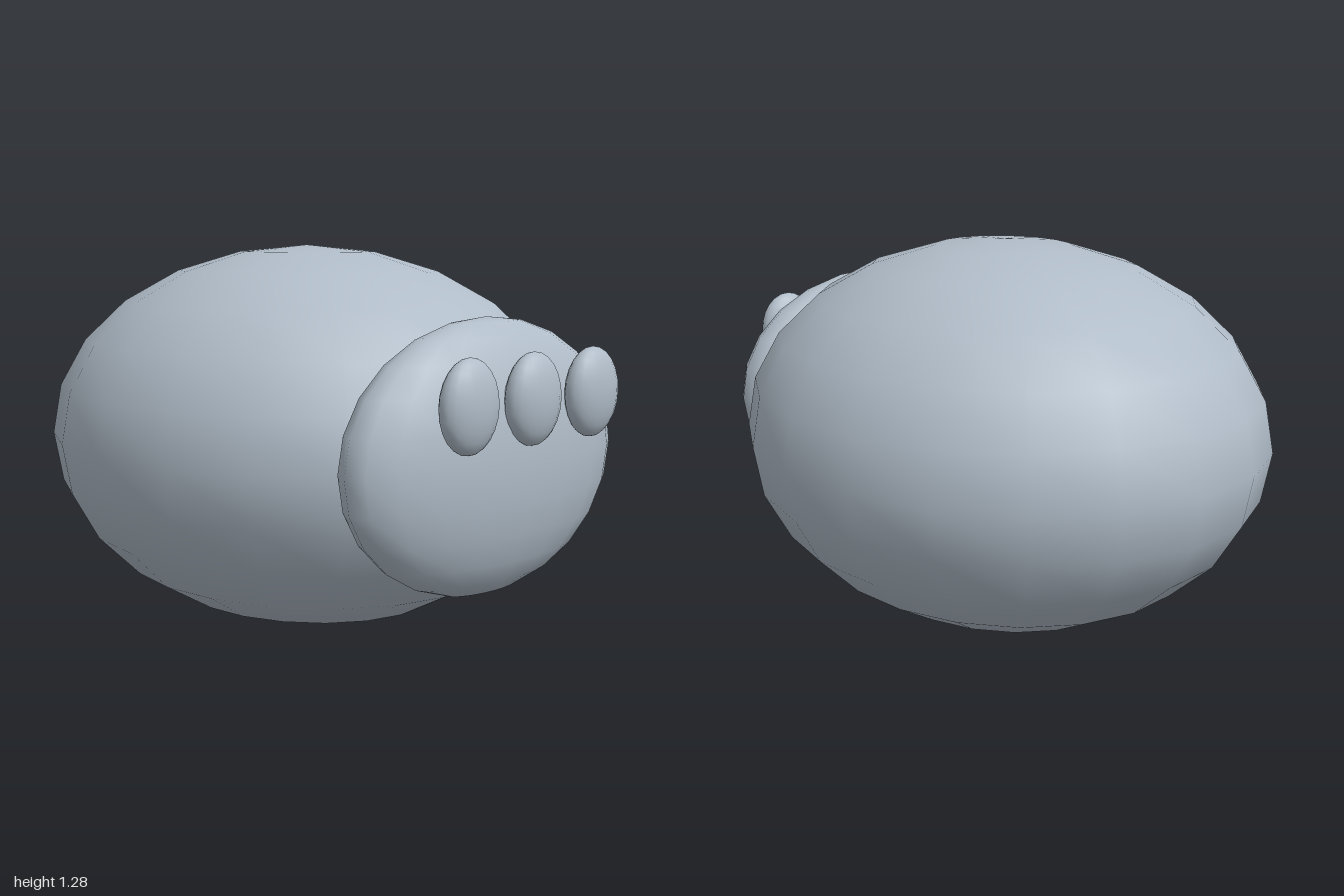
import * as THREE from 'three';

export function createModel() {
  const group = new THREE.Group();
  const blueGrey = new THREE.MeshStandardMaterial({ color: 0xb0bcc8 });
  blueGrey.name = 'blueGrey';

  // Smooth ellipsoid with its poles up and down
  const ellipsoid = (name, radii, centre) => {
    const geometry = new THREE.SphereGeometry(1, 20, 12);
    geometry.scale(...radii);
    const mesh = new THREE.Mesh(geometry, blueGrey);
    mesh.name = name;
    mesh.position.set(...centre);
    group.add(mesh);
  };

  // Egg-shaped body, long from front to back
  ellipsoid('body', [0.838, 0.64, 0.94], [0, 0.643, -0.06]);

  // Flattened disc sunk into the front
  ellipsoid('frontPad', [0.565, 0.421, 0.187], [0, 0.66, 0.757]);

  // Three small ovals in a row
  ['rightOval', 'middleOval', 'leftOval'].forEach((name, i) =>
    ellipsoid(name, [0.108, 0.137, 0.057], [(i - 1) * 0.27, 0.853, 0.943]));

  return group;
}
